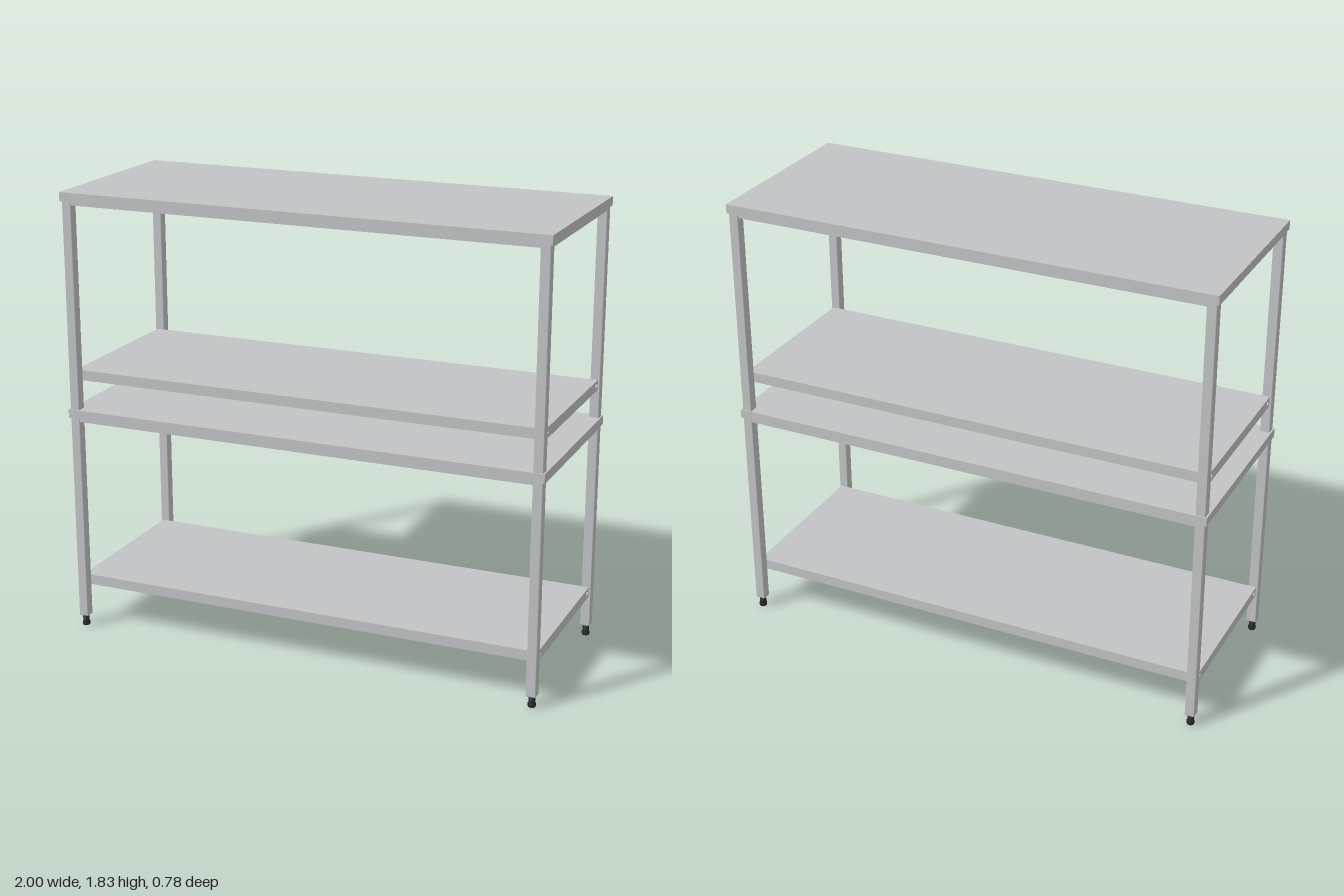
import * as THREE from 'three';
import { RoundedBoxGeometry } from 'three/addons/geometries/RoundedBoxGeometry.js';

const steel = new THREE.MeshStandardMaterial({ color: 0xc2c3c4 });
steel.name = 'brushedSteel';
const rubber = new THREE.MeshStandardMaterial({ color: 0x2b2b2b });
rubber.name = 'blackRubber';
const boltSteel = new THREE.MeshStandardMaterial({ color: 0xe2e2e2 });
boltSteel.name = 'boltSteel';

const LEG = 0.04, LEG_X = 0.973, LEG_Z = 0.364;

function add(parent, name, geometry, material, x, y, z) {
  const mesh = new THREE.Mesh(geometry, material);
  mesh.name = name;
  mesh.position.set(x, y, z);
  parent.add(mesh);
  return mesh;
}

// Sheet folded down along all four edges, open underneath
function foldedTray(name, halfX, halfZ, bottom, top, t) {
  const tray = new THREE.Group();
  tray.name = name;
  const h = top - bottom - t, y = bottom + h / 2;
  add(tray, 'sheet', new THREE.BoxGeometry(halfX * 2, t, halfZ * 2), steel, 0, top - t / 2, 0);
  for (const s of [-1, 1]) {
    add(tray, 'longFold', new THREE.BoxGeometry(halfX * 2, h, t), steel, 0, y, s * (halfZ - t / 2));
    add(tray, 'endFold', new THREE.BoxGeometry(t, h, (halfZ - t) * 2), steel, s * (halfX - t / 2), y, 0);
  }
  return tray;
}

// Worktop: folded sheet over a frame of square tubes between the legs
function worktop(name, top) {
  const group = foldedTray(name, 1, 0.388, top - 0.036, top, 0.006);
  const y = top - 0.028, h = 0.044;
  for (const s of [-1, 1]) {
    add(group, 'longRail', new THREE.BoxGeometry(LEG_X * 2 - LEG, h, 0.036), steel, 0, y, s * LEG_Z);
    add(group, 'endRail', new THREE.BoxGeometry(0.036, h, LEG_Z * 2 - LEG), steel, s * LEG_X, y, 0);
  }
  return group;
}

// Shelf held between the front and back legs, bolted at each end
function shelf(name, top) {
  const halfX = 0.984, halfZ = LEG_Z - LEG / 2;
  const group = foldedTray(name, halfX, halfZ, top - 0.042, top, 0.006);
  for (const sx of [-1, 1]) for (const sz of [-1, 1]) {
    const bolt = add(group, 'bolt', new THREE.CylinderGeometry(0.008, 0.008, 0.006, 16), boltSteel,
      sx * halfX, top - 0.021, sz * 0.32);
    bolt.rotation.z = Math.PI / 2;
  }
  return group;
}

// Square tube leg on an adjustable foot
function leg(x, z) {
  const group = new THREE.Group();
  group.name = 'leg';
  const bottom = 0.045, top = 1.822;
  add(group, 'post', new RoundedBoxGeometry(LEG, top - bottom, LEG, 2, 0.004), steel, 0, (top + bottom) / 2, 0);
  const profile = [[0, 0], [0.014, 0], [0.016, 0.004], [0.016, 0.014], [0.013, 0.018], [0.014, 0.047], [0, 0.047]]
    .map(([r, y]) => new THREE.Vector2(r, y));
  add(group, 'foot', new THREE.LatheGeometry(profile, 20), rubber, 0, 0, 0);
  group.position.set(x, 0, z);
  return group;
}

export function createModel() {
  const model = new THREE.Group();
  model.name = 'steelShelvingTable';
  for (const sx of [-1, 1]) for (const sz of [-1, 1]) model.add(leg(sx * LEG_X, sz * LEG_Z));
  model.add(worktop('upperTop', 1.83), worktop('middleTop', 0.945));
  model.add(shelf('upperShelf', 1.102), shelf('lowerShelf', 0.218));
  return model;
}
